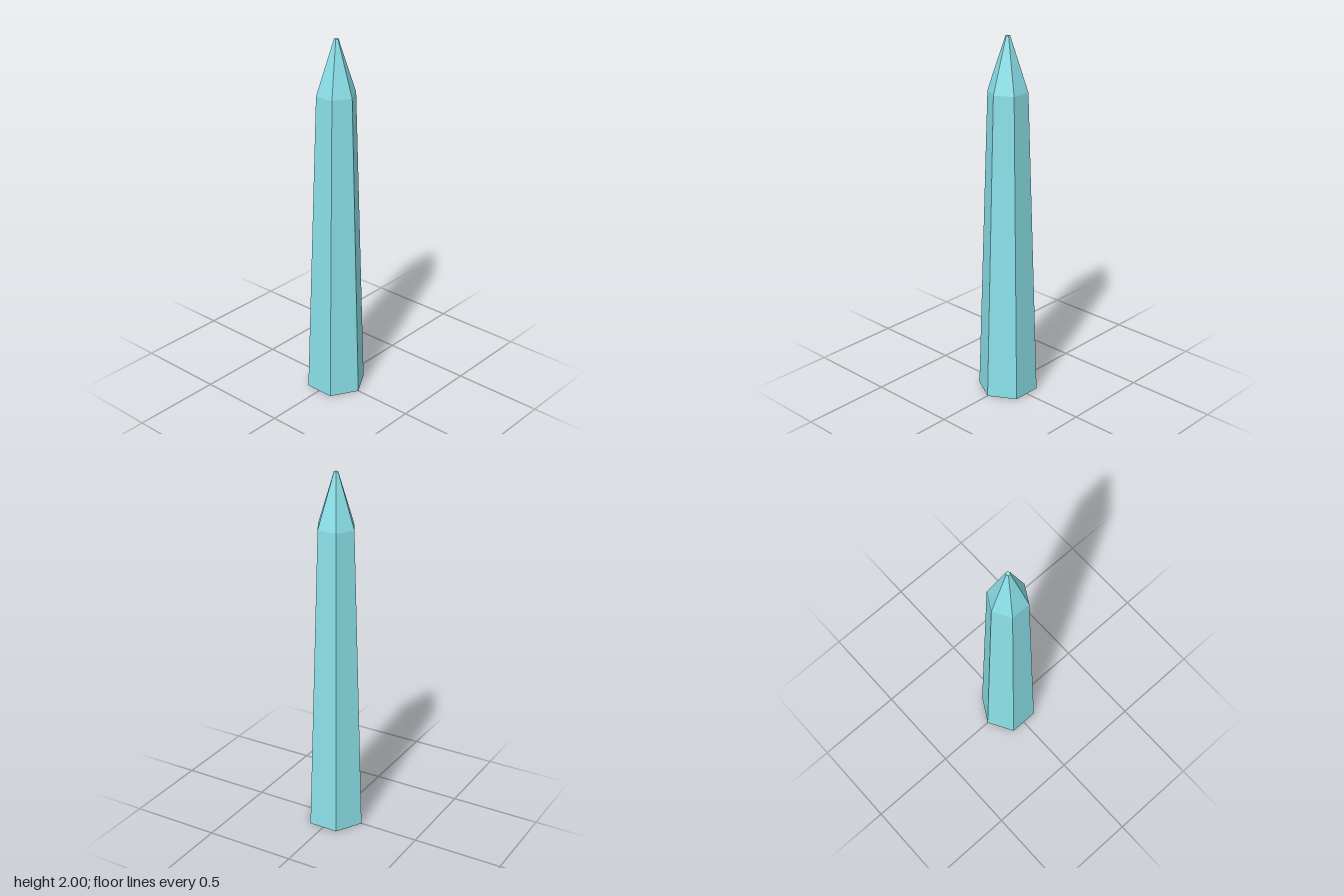
import * as THREE from 'three';

const SIDES = 6;
const SHOULDER_Y = 1.71;

export function createModel() {
  const group = new THREE.Group();
  group.name = 'crystal';
  const material = new THREE.MeshStandardMaterial({ color: 0x8ae0e8, flatShading: true });

  // Hexagonal frustum with corners on the x axis
  function addFrustum(name, bottomRadius, topRadius, bottomY, topY) {
    const height = topY - bottomY;
    const geometry = new THREE.CylinderGeometry(topRadius, bottomRadius, height, SIDES, 1, true, Math.PI / 6);
    geometry.translate(0, bottomY + height / 2, 0);
    const mesh = new THREE.Mesh(geometry, material);
    mesh.name = name;
    group.add(mesh);
  }

  // Flat hexagonal end face
  function addCap(name, radius, y, facing) {
    const geometry = new THREE.CircleGeometry(radius, SIDES);
    geometry.rotateX(-facing * Math.PI / 2);
    geometry.translate(0, y, 0);
    const mesh = new THREE.Mesh(geometry, material);
    mesh.name = name;
    group.add(mesh);
  }

  // Long tapering shaft and its pointed tip
  addFrustum('shaft', 0.164, 0.107, 0, SHOULDER_Y);
  addFrustum('tip', 0.107, 0.012, SHOULDER_Y, 2);

  // Closed base and tiny blunt end
  addCap('base', 0.164, 0, -1);
  addCap('tipEnd', 0.012, 2, 1);

  return group;
}
